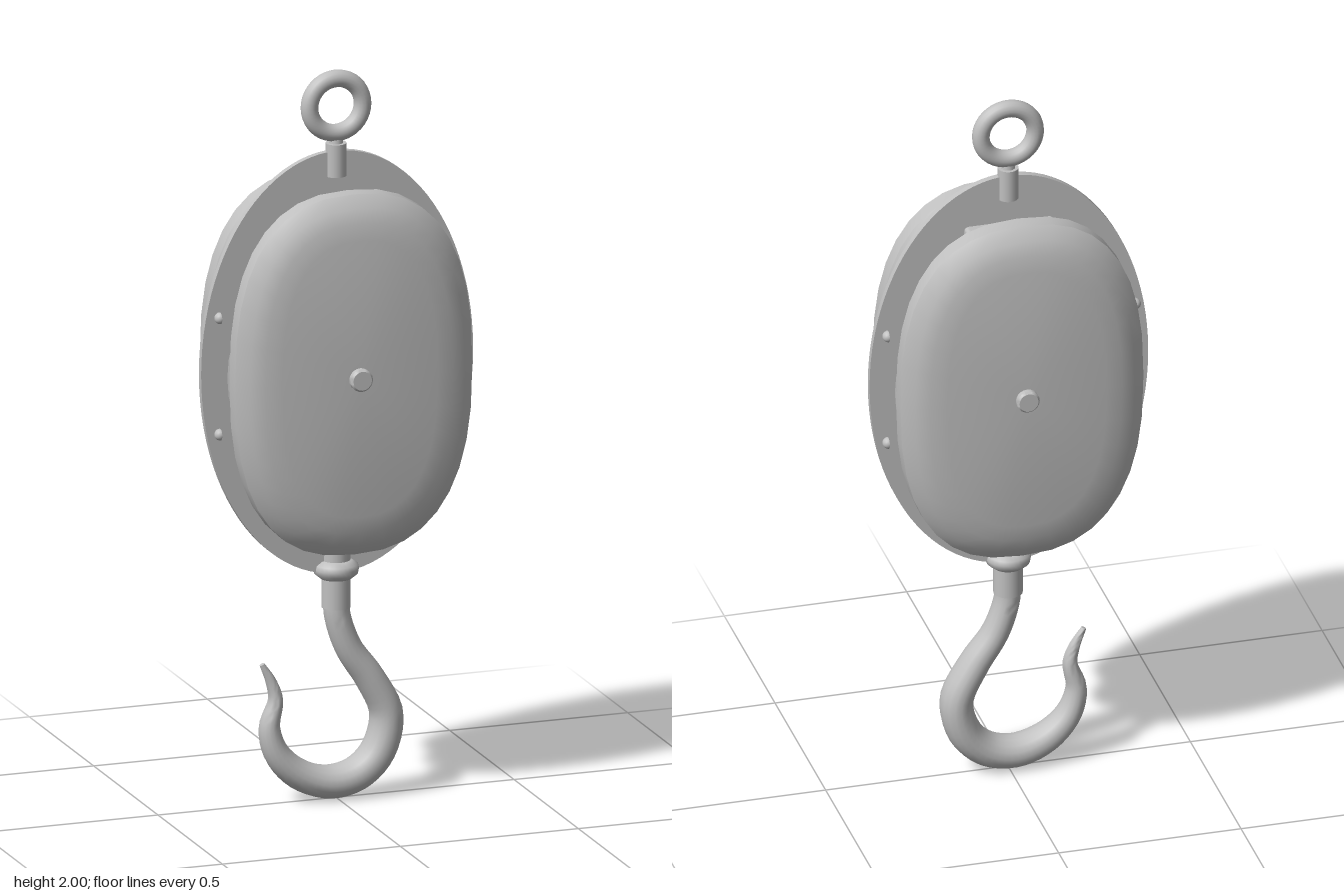
import * as THREE from 'three';
import { toCreasedNormals, mergeVertices } from 'three/addons/utils/BufferGeometryUtils.js';
import { RoundedBoxGeometry } from 'three/addons/geometries/RoundedBoxGeometry.js';

const steel = new THREE.MeshStandardMaterial({ color: 0xc0c0c0 });
steel.name = 'grey steel';

// Joins equal-sized rings of points into a closed skin with capped ends
function skin(rings) {
  const n = rings[0].length, pos = [], idx = [];
  rings.forEach(r => r.forEach(p => pos.push(p.x, p.y, p.z)));
  for (let i = 0; i < rings.length - 1; i++) for (let j = 0; j < n; j++) {
    const a = i * n + j, b = i * n + (j + 1) % n;
    idx.push(a, b, b + n, a, b + n, a + n);
  }
  const cap = (ring, base, flip) => {
    const c = ring.reduce((s, p) => s.add(p), new THREE.Vector3()).divideScalar(n);
    const k = pos.length / 3;
    pos.push(c.x, c.y, c.z);
    for (let j = 0; j < n; j++) {
      const a = base + j, b = base + (j + 1) % n;
      flip ? idx.push(k, b, a) : idx.push(k, a, b);
    }
  };
  cap(rings[0], 0, true);
  cap(rings[rings.length - 1], (rings.length - 1) * n, false);
  const g = new THREE.BufferGeometry();
  g.setAttribute('position', new THREE.Float32BufferAttribute(pos, 3));
  g.setIndex(idx);
  g.computeVertexNormals();
  return g;
}

// Squarish oval outline, inset from the full cheek size
function ovalRing(inset, z, n = 36) {
  const pw = (v) => Math.sign(v) * Math.abs(v) ** (2 / 2.5);
  return Array.from({ length: n }, (_, j) => {
    const t = j / n * Math.PI * 2;
    return new THREE.Vector3(pw(Math.cos(t)) * (0.333 - inset), pw(Math.sin(t)) * (0.495 - inset), z);
  });
}

// Tapered hook swept along a planar curve; rows are x, y, in-plane radius, z radius
function hookGeometry() {
  const rows = [
    [0, 0.56, 0.035, 0.037], [0.004, 0.5, 0.035, 0.039], [0.035, 0.41, 0.037, 0.043],
    [0.095, 0.32, 0.041, 0.05], [0.141, 0.22, 0.044, 0.055], [0.118, 0.12, 0.046, 0.056],
    [0.06, 0.063, 0.046, 0.055], [-0.02, 0.046, 0.045, 0.053], [-0.105, 0.075, 0.041, 0.048],
    [-0.165, 0.135, 0.035, 0.041], [-0.187, 0.21, 0.028, 0.033], [-0.17, 0.285, 0.02, 0.023],
    [-0.182, 0.335, 0.015, 0.015], [-0.208, 0.386, 0.007, 0.007]];
  const path = new THREE.CatmullRomCurve3(rows.map(r => new THREE.Vector3(r[0], r[1], 0)));
  const size = new THREE.CatmullRomCurve3(rows.map(r => new THREE.Vector3(r[2], r[3], 0)));
  const rings = [], steps = 60, n = 16;
  for (let i = 0; i <= steps; i++) {
    const c = path.getPoint(i / steps), t = path.getTangent(i / steps), s = size.getPoint(i / steps);
    const side = new THREE.Vector3(0, 0, 1).cross(t);
    rings.push(Array.from({ length: n }, (_, j) => {
      const a = j / n * Math.PI * 2;
      const p = c.clone().addScaledVector(side, -Math.sin(a) * s.x);
      p.z = Math.cos(a) * s.y;
      return p;
    }));
  }
  return toCreasedNormals(skin(rings), 1);
}

const lathe = (pts, n, crease = 0.6) => toCreasedNormals(
  new THREE.LatheGeometry(pts.map(p => new THREE.Vector2(...p)), n), crease);

export function createModel() {
  const group = new THREE.Group();
  const add = (name, geo, x = 0, y = 0, z = 0) => {
    const m = new THREE.Mesh(geo, steel);
    m.name = name;
    m.position.set(x, y, z);
    group.add(m);
    return m;
  };

  // Thin oval centre plate
  const oval = new THREE.Shape().absellipse(0, 0, 0.382, 0.58, 0, Math.PI * 2);
  const plate = new THREE.ExtrudeGeometry(oval, { depth: 0.018, bevelEnabled: false, curveSegments: 48 });
  add('centrePlate', toCreasedNormals(plate, 0.6), 0, 1.2, -0.009);

  // Domed cheeks, front and back
  const cheek = toCreasedNormals(mergeVertices(skin([
    ovalRing(0.013, 0.081), ovalRing(0, 0.093), ovalRing(0, 0.138),
    ovalRing(0.032, 0.168), ovalRing(0.07, 0.181), ovalRing(0.115, 0.189)])), 0.65);
  add('frontCheek', cheek, 0, 1.2);
  add('backCheek', cheek, 0, 1.2).rotation.y = Math.PI;

  // Grooved pulley wheel and its axle
  const wheel = lathe([[0, -0.068], [0.31, -0.068], [0.327, -0.06], [0.298, -0.008],
    [0.298, 0.008], [0.327, 0.06], [0.31, 0.068], [0, 0.068]], 40);
  add('pulleyWheel', wheel, 0, 1.2).rotation.x = Math.PI / 2;
  const axle = lathe([[0, -0.208], [0.026, -0.208], [0.031, -0.202], [0.031, 0.202],
    [0.026, 0.208], [0, 0.208]], 20);
  add('axle', axle, 0, 1.2).rotation.x = Math.PI / 2;

  // Spacer blocks between the cheeks
  for (const [name, y] of [['topSpacer', 1.577], ['bottomSpacer', 0.815]])
    add(name, new RoundedBoxGeometry(0.245, 0.13, 0.164, 2, 0.012), 0, y);

  // Small domed rivets along both sides
  const dome = new THREE.SphereGeometry(0.016, 14, 6, 0, Math.PI * 2, 0, Math.PI / 2);
  const base = new THREE.CircleGeometry(0.016, 14).rotateX(Math.PI / 2);
  for (const s of [-1, 1]) for (const y of [1.04, 1.36]) for (const z of [-0.036, 0.036])
    for (const [name, geo] of [['rivet', dome], ['rivetBase', base]])
      add(name, geo, s * 0.338, y, z).rotation.z = -s * Math.PI / 2;

  // Hanging eye and its shank
  add('eyeRing', new THREE.TorusGeometry(0.0745, 0.0235, 16, 40), 0, 1.902);
  add('eyeShank', new THREE.CylinderGeometry(0.028, 0.028, 0.09, 20), 0, 1.755);
  add('eyeNeck', new THREE.CylinderGeometry(0.016, 0.02, 0.03, 12), 0, 1.807);

  // Swivel under the block: nut, rounded collar and stem
  add('swivelNut', new THREE.CylinderGeometry(0.038, 0.038, 0.05, 20), 0, 0.66);
  add('swivelCollar', lathe([[0, 0.605], [0.042, 0.605], [0.058, 0.618], [0.061, 0.632],
    [0.058, 0.644], [0.042, 0.655], [0, 0.655]], 28, 0.9));
  add('swivelStem', new THREE.CylinderGeometry(0.039, 0.039, 0.09, 24), 0, 0.57);

  add('hook', hookGeometry());
  return group;
}
